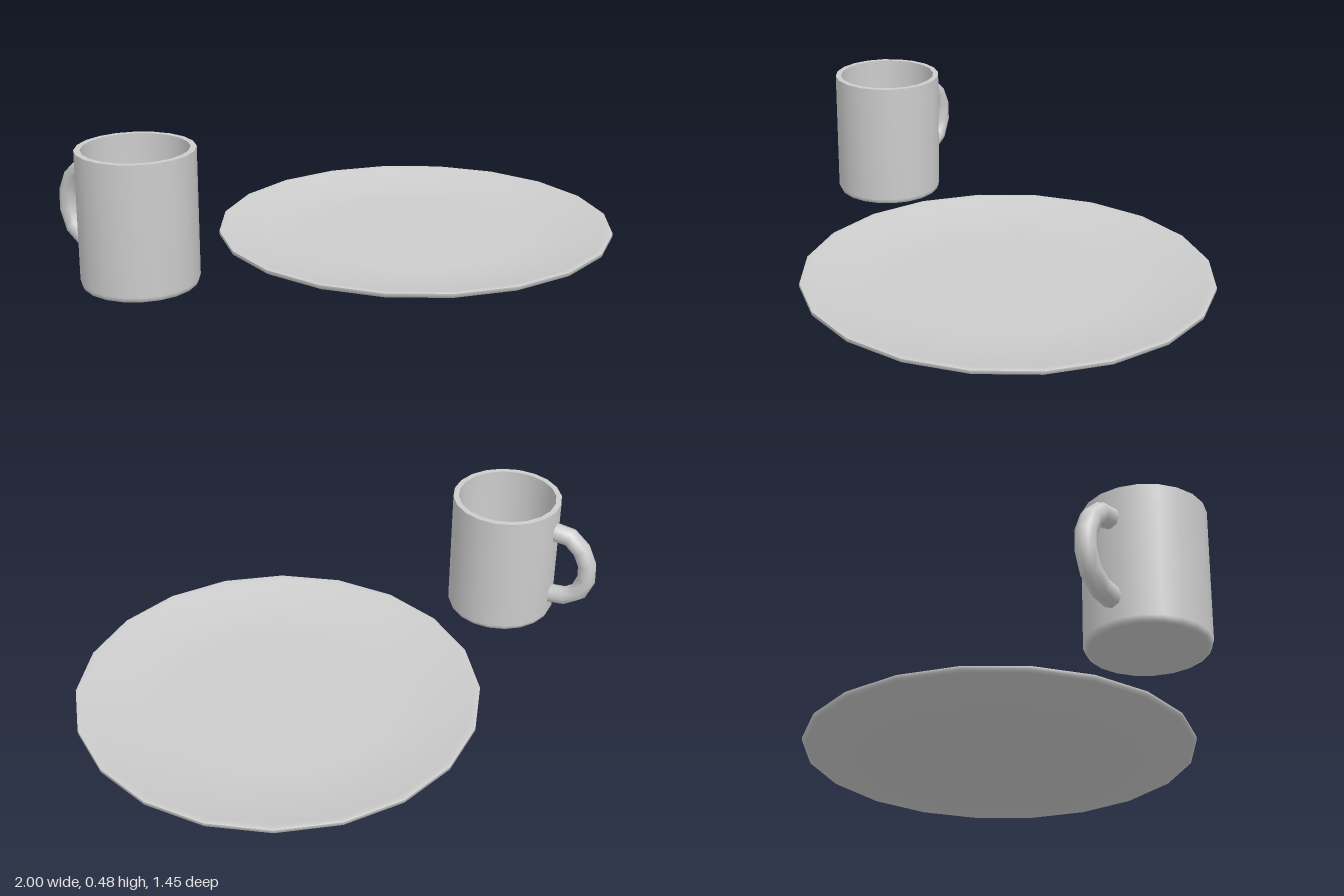
import * as THREE from 'three';

const SIDES = 20;

// Lathe from [radius, height] pairs; a repeated pair makes a sharp edge
function turned(name, profile, material) {
  const points = profile.map(([r, y]) => new THREE.Vector2(r, y));
  const mesh = new THREE.Mesh(new THREE.LatheGeometry(points, SIDES), material);
  mesh.name = name;
  return mesh;
}

export function createModel() {
  const model = new THREE.Group();
  model.name = 'mugAndPlate';
  const ceramic = new THREE.MeshStandardMaterial({ color: 0xcccccc });
  ceramic.name = 'pale grey ceramic';

  // Shallow plate: flat foot, sloping underside, thin rim, dished top
  const plate = turned('plate', [
    [0, 0], [0.54, 0], [0.54, 0], [0.715, 0.038], [0.727, 0.045], [0.727, 0.057],
    [0.727, 0.057], [0.72, 0.06], [0.7, 0.056], [0.54, 0.022], [0.4, 0.018], [0, 0.018],
  ], ceramic);
  plate.position.x = 0.272;
  model.add(plate);

  // Mug: hollow body
  const mug = new THREE.Group();
  mug.name = 'mug';
  mug.position.x = -0.795;
  mug.add(turned('mugBody', [
    [0, 0], [0.19, 0], [0.198, 0.003], [0.205, 0.02], [0.205, 0.42], [0.205, 0.48],
    [0.205, 0.48], [0.184, 0.48], [0.184, 0.48], [0.184, 0.42], [0.184, 0.06],
    [0.165, 0.03], [0, 0.03],
  ], ceramic));

  // Mug handle: faceted loop, both ends buried in the wall
  const path = new THREE.CatmullRomCurve3([
    [0.195, 0.377], [0.265, 0.367], [0.322, 0.305], [0.34, 0.23],
    [0.322, 0.152], [0.268, 0.108], [0.195, 0.098],
  ].map(([r, y]) => new THREE.Vector3(r, y, 0)));
  const handle = new THREE.Mesh(new THREE.TubeGeometry(path, 7, 0.036, 8), ceramic);
  handle.name = 'mugHandle';
  handle.rotation.y = Math.atan2(0.892, -0.453);
  mug.add(handle);

  model.add(mug);
  return model;
}
